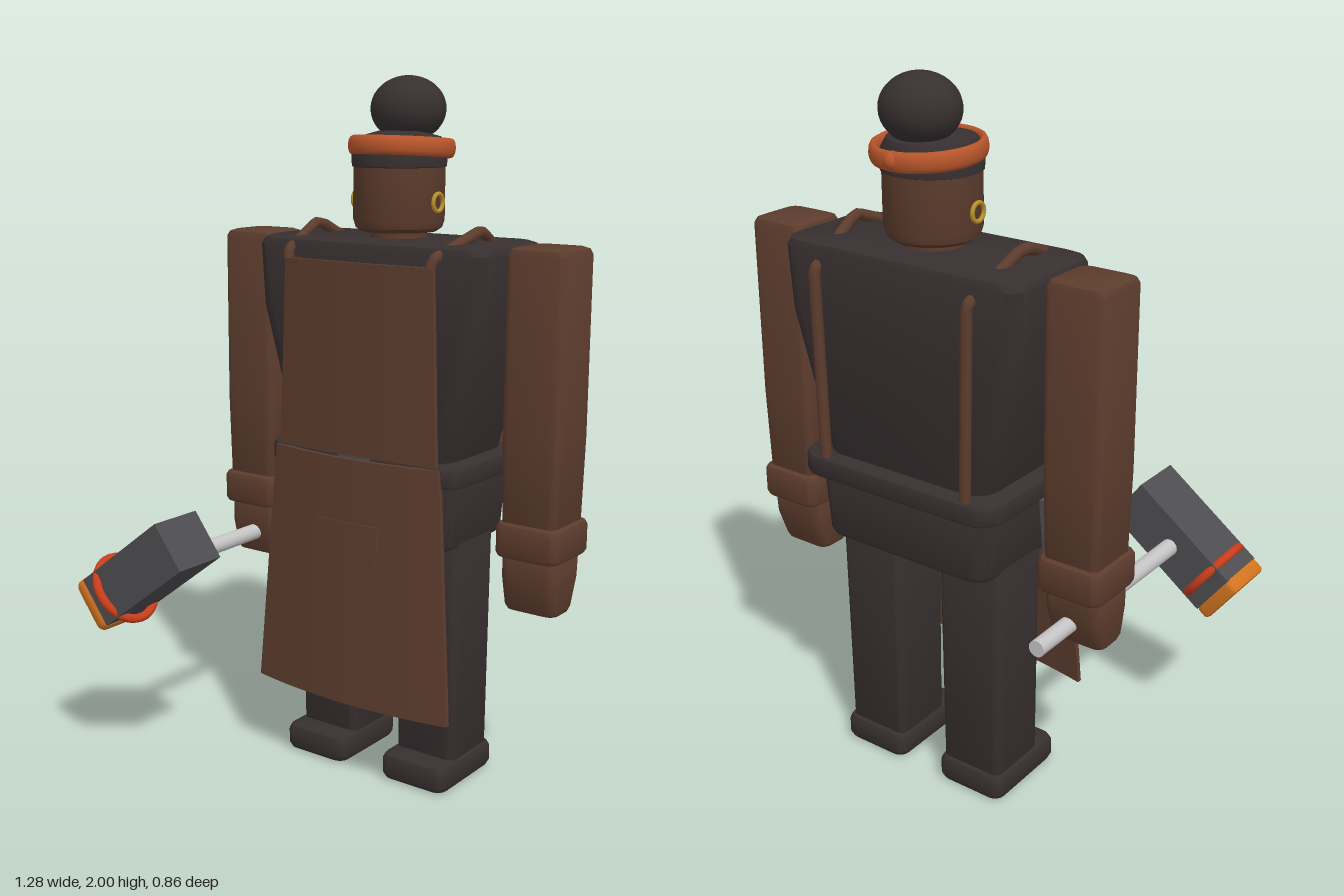
import * as THREE from 'three';
import { toCreasedNormals } from 'three/addons/utils/BufferGeometryUtils.js';

const mat = (name, color) => new THREE.MeshStandardMaterial({ name, color });
const CX = 0.055, CZ = -0.222;

export function createModel() {
  const root = new THREE.Group();
  root.name = 'blacksmith';
  const leather = mat('brown leather', 0x5c3c2d);
  const cloth = mat('dark cloth', 0x372f30);
  const copper = mat('copper band', 0xb9562b);
  const gold = mat('gold', 0xb8922c);
  const iron = mat('iron', 0x4d4d51);
  const steel = mat('pale steel', 0xc4c4c4);
  const ember = mat('red ring', 0xc93d1c);
  const amber = mat('orange face', 0xd2741f);

  const add = (name, geo, material, parent = root) => {
    const m = new THREE.Mesh(geo, material);
    m.name = name;
    parent.add(m);
    return m;
  };

  // Rounded-rectangle loft; rows are [y, centreX, centreZ, halfWidth, halfDepth], bottom to top
  const loft = (rows, r, bevel = 0.02) => {
    const [first, last] = [rows[0], rows[rows.length - 1]];
    const end = (s, dir) => [[0, bevel], [0.3 * bevel, 0.3 * bevel], [bevel, 0]].map(([dy, inset]) =>
      [s[0] + dir * dy, s[1], s[2], s[3] - inset, s[4] - inset]);
    const all = [...end(first, 1), ...rows.slice(1, -1), ...end(last, -1).reverse()];
    const pos = [], idx = [], K = 4, N = 4 * (K + 1);
    for (const [y, cx, cz, w, d] of all) {
      for (let c = 0; c < 4; c++) {
        const sx = c === 0 || c === 3 ? 1 : -1, sz = c < 2 ? 1 : -1;
        for (let k = 0; k <= K; k++) {
          const a = (c + k / K) * Math.PI / 2;
          pos.push(cx + sx * (w - r) + r * Math.cos(a), y, cz + sz * (d - r) + r * Math.sin(a));
        }
      }
    }
    for (let j = 0; j < all.length - 1; j++) {
      for (let i = 0; i < N; i++) {
        const a = j * N + i, b = j * N + (i + 1) % N;
        idx.push(a, a + N, b, b, a + N, b + N);
      }
    }
    const bottom = pos.length / 3, top = bottom + 1, base = (all.length - 1) * N;
    pos.push(first[1], first[0], first[2], last[1], last[0], last[2]);
    for (let i = 0; i < N; i++) {
      const n = (i + 1) % N;
      idx.push(bottom, i, n, top, base + n, base + i);
    }
    const g = new THREE.BufferGeometry();
    g.setAttribute('position', new THREE.Float32BufferAttribute(pos, 3));
    g.setIndex(idx);
    return toCreasedNormals(g, 0.55);
  };

  // Curved leather sheet; lo and hi are [y, halfWidth, z]
  const sheet = (lo, hi, bulge, thick = 0.015) => {
    const g = new THREE.BoxGeometry(2, 1, thick, 14, 1, 1);
    const p = g.attributes.position, mix = THREE.MathUtils.lerp;
    for (let i = 0; i < p.count; i++) {
      const u = p.getX(i), t = p.getY(i) + 0.5;
      p.setXYZ(i, CX + u * mix(lo[1], hi[1], t), mix(lo[0], hi[0], t),
        p.getZ(i) + mix(lo[2], hi[2], t) - bulge * u * u);
    }
    return toCreasedNormals(g, 0.5);
  };

  // Torso, belt and hips
  add('torso', loft([[0.94, CX, CZ, 0.27, 0.16], [1.36, CX, CZ, 0.372, 0.174],
    [1.56, CX, CZ, 0.382, 0.176]], 0.06, 0.025), cloth);
  add('belt', loft([[0.91, CX, -0.226, 0.325, 0.208], [0.97, CX, -0.226, 0.325, 0.208]], 0.07, 0.008), cloth);
  add('hips', loft([[0.715, CX, CZ, 0.275, 0.17], [0.93, CX, CZ, 0.29, 0.172]], 0.05), cloth);
  add('buckle', new THREE.BoxGeometry(0.1, 0.07, 0.012), iron).position.set(CX, 0.943, -0.012);

  // Apron
  add('apronSkirt', sheet([0.25, 0.33, 0.034], [0.965, 0.278, 0.012], 0.035), leather);
  add('apronBib', sheet([0.97, 0.265, -0.01], [1.505, 0.245, -0.012], 0.016), leather);
  add('apronPocket', sheet([0.66, 0.105, 0.0255], [0.785, 0.105, 0.0215], 0.004), leather);

  for (const s of [-1, 1]) {
    const side = s > 0 ? 'left' : 'right';
    const x = (v) => CX + s * v;

    // Legs and boots
    add(side + 'Leg', loft([[0.06, x(0.172), CZ, 0.098, 0.1], [0.78, x(0.172), CZ, 0.102, 0.104]], 0.025), cloth);
    add(side + 'Boot', loft([[0, x(0.174), -0.194, 0.108, 0.143], [0.082, x(0.174), -0.194, 0.108, 0.143]], 0.03), cloth);

    // Arm, cuff and tapered fist
    add(side + 'Arm', loft([[0.78, x(0.482), -0.222, 0.083, 0.086], [1.05, x(0.482), -0.222, 0.088, 0.09],
      [1.56, x(0.482), -0.222, 0.089, 0.087]], 0.025), leather);
    add(side + 'Cuff', loft([[0.72, x(0.483), -0.222, 0.097, 0.102], [0.82, x(0.483), -0.222, 0.097, 0.102]], 0.03, 0.015), leather);
    add(side + 'Hand', loft([[0.56, x(0.482), -0.212, 0.082, 0.055], [0.66, x(0.482), -0.218, 0.083, 0.078],
      [0.74, x(0.482), -0.22, 0.083, 0.08]], 0.025), leather);

    // Apron strap over the shoulder and down the back
    const path = new THREE.CurvePath();
    const pts = [[0.235, 1.5, -0.025], [0.24, 1.525, -0.03], [0.275, 1.588, -0.2], [0.27, 1.585, -0.23],
      [0.245, 1.49, -0.412], [0.235, 0.96, -0.412]].map(([a, y, z]) => new THREE.Vector3(x(a), y, z));
    for (let i = 1; i < pts.length; i++) path.add(new THREE.LineCurve3(pts[i - 1], pts[i]));
    add(side + 'Strap', new THREE.TubeGeometry(path, 60, 0.016, 8), leather);

    // Earring
    const ring = add(side + 'Earring', new THREE.TorusGeometry(0.024, 0.006, 8, 20), gold);
    ring.rotation.y = Math.PI / 2;
    ring.position.set(x(0.135), 1.66, -0.215);
  }

  // Head, hair and bun
  const lathe = (pts) => toCreasedNormals(
    new THREE.LatheGeometry(pts.map(([r, y]) => new THREE.Vector2(r, y)), 36), 0.6);
  const head = new THREE.Group();
  head.name = 'head';
  head.position.set(CX, 0, -0.224);
  root.add(head);
  add('neck', new THREE.CylinderGeometry(0.08, 0.08, 0.1, 24), leather, head).position.y = 1.57;
  add('face', lathe([[0, 1.575], [0.105, 1.577], [0.121, 1.588], [0.128, 1.61], [0.128, 1.77]]), leather, head);
  add('hair', lathe([[0.12, 1.75], [0.132, 1.755], [0.134, 1.8], [0.115, 1.835], [0.06, 1.85], [0, 1.852]]), cloth, head);
  const bun = add('bun', new THREE.SphereGeometry(1, 32, 20), cloth, head);
  bun.scale.set(0.107, 0.09, 0.102);
  bun.position.set(0, 1.91, -0.042);

  // Headband with a knot at the back
  const band = add('headband', new THREE.TorusGeometry(0.135, 0.012, 12, 48).rotateX(Math.PI / 2), copper, head);
  band.scale.set(1, 2.2, 1.06);
  band.position.set(0, 1.807, -0.012);
  band.rotation.x = -0.06;
  const knot = add('headbandKnot', new THREE.SphereGeometry(0.024, 16, 12), copper, head);
  knot.position.set(0, 1.8, -0.152);

  // Thin tool hanging from the belt
  const tool = add('beltTool', new THREE.BoxGeometry(0.014, 0.2, 0.06), iron);
  tool.position.set(-0.298, 0.83, -0.2);
  tool.rotation.z = -0.08;

  // Hammer held in the right hand
  const hammer = new THREE.Group();
  hammer.name = 'hammer';
  hammer.position.set(-0.419, 0.633, 0.317);
  hammer.rotation.z = 0.645;
  root.add(hammer);
  const handle = add('hammerHandle', new THREE.CylinderGeometry(0.025, 0.023, 0.7, 20).rotateX(Math.PI / 2), steel, hammer);
  handle.position.z = -0.402;
  add('hammerHead', new THREE.BoxGeometry(0.365, 0.15, 0.167), iron, hammer);
  const strike = add('hammerFace', loft([[-0.022, 0, 0, 0.08, 0.086], [0.022, 0, 0, 0.08, 0.086]], 0.02, 0.01), amber, hammer);
  strike.rotation.z = Math.PI / 2;
  strike.position.x = -0.2;
  const hoop = add('hammerRing', new THREE.TorusGeometry(0.098, 0.013, 10, 36), ember, hammer);
  hoop.rotation.y = Math.PI / 2;
  hoop.position.x = -0.128;

  return root;
}
